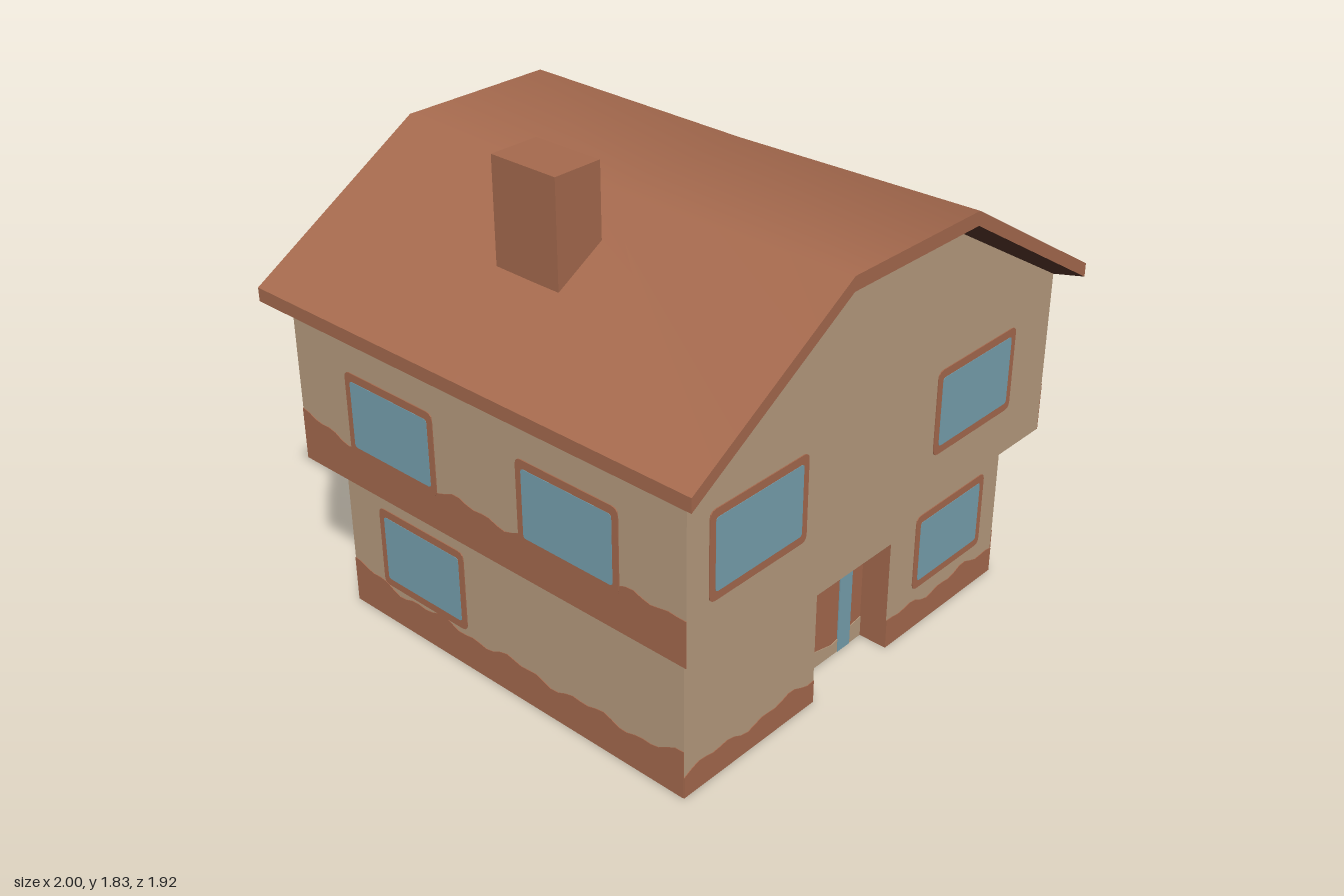
import * as THREE from 'three';

function material(name, color) {
  const m = new THREE.MeshStandardMaterial({ color, side: THREE.DoubleSide });
  m.name = name;
  return m;
}

export function createModel() {
  const brown = material('terracotta', 0xa66a4e);
  const beige = material('plaster', 0xb89d80);
  const blue = material('glass', 0x78a2b0);
  const dark = material('soffit brown', 0x57352a);
  const model = new THREE.Group();
  model.name = 'house';

  function add(parent, name, geometry, mat) {
    const mesh = new THREE.Mesh(geometry, mat);
    mesh.name = name;
    parent.add(mesh);
    return mesh;
  }

  // Flat quads joining two matching loops of points
  function strip(name, a, b, mat, closed = true) {
    const pos = [];
    for (let i = 0; i < a.length - (closed ? 0 : 1); i++) {
      const j = (i + 1) % a.length;
      pos.push(...a[i], ...a[j], ...b[j], ...a[i], ...b[j], ...b[i]);
    }
    const g = new THREE.BufferGeometry();
    g.setAttribute('position', new THREE.Float32BufferAttribute(pos, 3));
    g.computeVertexNormals();
    return add(model, name, g, mat);
  }

  const polygon = (pts) => new THREE.Shape(pts.map(([x, y]) => new THREE.Vector2(x, y)));

  // Thin plate straddling the wall plane, so it shows inside and outside
  function plate(parent, name, shape, depth, mat) {
    const g = new THREE.ExtrudeGeometry(shape, { depth, bevelEnabled: false, curveSegments: 3 });
    g.translate(0, 0, -depth / 2);
    return add(parent, name, g, mat);
  }

  function roundedRect(w, h, r) {
    const s = new THREE.Shape();
    const x = w / 2, y = h / 2;
    s.moveTo(-x + r, -y).lineTo(x - r, -y).quadraticCurveTo(x, -y, x, -y + r);
    s.lineTo(x, y - r).quadraticCurveTo(x, y, x - r, y);
    s.lineTo(-x + r, y).quadraticCurveTo(-x, y, -x, y - r);
    s.lineTo(-x, -y + r).quadraticCurveTo(-x, -y, -x + r, -y);
    return s;
  }

  function addWindow(wall, x, y, w, h) {
    const g = new THREE.Group();
    g.name = 'window';
    g.position.set(x, y, 0);
    plate(g, 'windowFrame', roundedRect(w, h, 0.025), 0.007, brown);
    plate(g, 'windowGlass', roundedRect(w - 0.05, h - 0.06, 0.012), 0.0095, blue);
    wall.add(g);
  }

  // Painted band with a ragged upper edge
  function addBand(wall, x0, x1, y0, height, seed, lift = 0) {
    const pts = [[x0, y0]];
    const n = Math.ceil((x1 - x0) / 0.035);
    for (let i = 0; i <= n; i++) {
      const x = x0 + (x1 - x0) * i / n;
      const wave = 0.011 * Math.sin(17 * x + seed) + 0.008 * Math.sin(41 * x + 2 * seed);
      pts.push([x, y0 + height + wave + lift * Math.abs(x) ** 6]);
    }
    pts.push([x1, y0]);
    plate(wall, 'paintBand', polygon(pts), 0.005, brown);
  }

  function addWall(name, turn, distance, pts) {
    const wall = new THREE.Group();
    wall.name = name;
    wall.rotation.y = turn;
    wall.position.set(Math.sin(turn) * distance, 0, Math.cos(turn) * distance);
    add(wall, name + 'Panel', new THREE.ShapeGeometry(polygon(pts)), beige);
    model.add(wall);
    return wall;
  }

  const LX = 0.84, LZ = 0.79, UX = 0.93, UZ = 0.88, LOW = 0.58, MID = 0.6, EAVE = 1.21;
  const rect = (x, y0, y1) => [[-x, y0], [x, y0], [x, y1], [-x, y1]];
  const gable = [[-UX, MID], [UX, MID], [UX, EAVE], [0.31, 1.575], [-0.31, 1.575], [-UX, EAVE]];

  // Front walls, the lower one notched for the doorway
  const lowerFront = addWall('lowerFrontWall', 0, LZ, [
    [-LX, 0], [-0.2, 0], [-0.2, 0.43], [0.2, 0.43], [0.2, 0], [LX, 0], [LX, LOW], [-LX, LOW]]);
  addBand(lowerFront, -LX, -0.2, 0, 0.095, 1);
  addBand(lowerFront, 0.2, LX, 0, 0.105, 3);
  addWindow(lowerFront, 0.545, 0.315, 0.405, 0.3);
  const upperFront = addWall('upperFrontWall', 0, UZ, gable);
  addWindow(upperFront, -0.612, 0.935, 0.445, 0.315);
  addWindow(upperFront, 0.495, 0.935, 0.445, 0.315);

  // Back walls
  const lowerBack = addWall('lowerBackWall', Math.PI, LZ, rect(LX, 0, LOW));
  addBand(lowerBack, -LX, LX, 0, 0.095, 5);
  addWindow(lowerBack, -0.54, 0.315, 0.4, 0.3);
  addWall('upperBackWall', Math.PI, UZ, gable);

  // Side walls
  for (const side of [1, -1]) {
    const label = side > 0 ? 'Left' : 'Right';
    const turn = side * Math.PI / 2;
    const lower = addWall('lower' + label + 'Wall', turn, LX, rect(LZ, 0, LOW));
    addBand(lower, -LZ, LZ, 0, 0.135, 2 + side, 0.15);
    addWindow(lower, -0.41, 0.307, 0.43, 0.315);
    const upper = addWall('upper' + label + 'Wall', turn, UX, rect(UZ, MID, EAVE));
    addBand(upper, -UZ, UZ, MID, 0.155, 4 + side, 0.06);
    for (const x of [-0.41, 0.4]) addWindow(upper, x, 0.88, 0.43, 0.31);
  }

  // Underside of the overhanging upper storey
  const corners = (x, y, z) => [[x, y, z], [x, y, -z], [-x, y, -z], [-x, y, z]];
  strip('overhangUnderside', corners(LX, LOW, LZ), corners(UX, MID, UZ), brown);

  // Recessed doorway
  const frame = (z) => [[-0.2, 0, z], [-0.2, 0.43, z], [0.2, 0.43, z], [0.2, 0, z]];
  const doorZ = 0.68;
  strip('doorRecess', frame(doorZ), frame(LZ), brown, false);
  const door = new THREE.Group();
  door.name = 'door';
  door.position.z = doorZ;
  model.add(door);
  add(door, 'doorPanel', new THREE.ShapeGeometry(polygon(rect(0.2, 0, 0.43))), brown);
  plate(door, 'doorStep', polygon([[-0.2, 0], [0.2, 0], [0.2, 0.08], [0.13, 0.07], [0.04, 0.045],
    [-0.05, 0.065], [-0.12, 0.05], [-0.2, 0.08]]), 0.005, beige);
  plate(door, 'doorGlass', polygon([[0.07, 0], [0.137, 0], [0.137, 0.415], [0.07, 0.415]]), 0.009, blue);

  // Roof edge: loops run along the front profile, then back along the rear one
  const profile = (x, low, high) => [[-x, low], [-0.31, high], [0.31, high], [x, low]];
  const loop = (p, z) => [...p.map(([x, y]) => [x, y, z]), ...[...p].reverse().map(([x, y]) => [x, y, -z])];
  const RZ = 0.96;
  const under = loop(profile(1, 1.2, 1.615), RZ);
  const top = profile(1, 1.25, 1.665);
  strip('roofSoffit', loop(profile(UX, EAVE, 1.575), UZ), under, dark);
  strip('roofFascia', under, loop(top, RZ), brown);

  // Roof cover with a slight sag along the ridge
  const pos = [], index = [];
  [RZ, 0, -RZ].forEach((z, r) => top.forEach(([x, y], i) => {
    pos.push(x, z === 0 && Math.abs(x) < 1 ? y - 0.013 : y, z);
    if (r < 2 && i < 3) {
      const a = r * 4 + i;
      index.push(a, a + 1, a + 5, a, a + 5, a + 4);
    }
  }));
  const cover = new THREE.BufferGeometry();
  cover.setAttribute('position', new THREE.Float32BufferAttribute(pos, 3));
  cover.setIndex(index);
  cover.computeVertexNormals();
  add(model, 'roofCover', cover, brown);

  // Chimney
  add(model, 'chimney', new THREE.BoxGeometry(0.19, 0.4, 0.275), brown).position.set(-0.555, 1.63, -0.033);

  return model;
}
